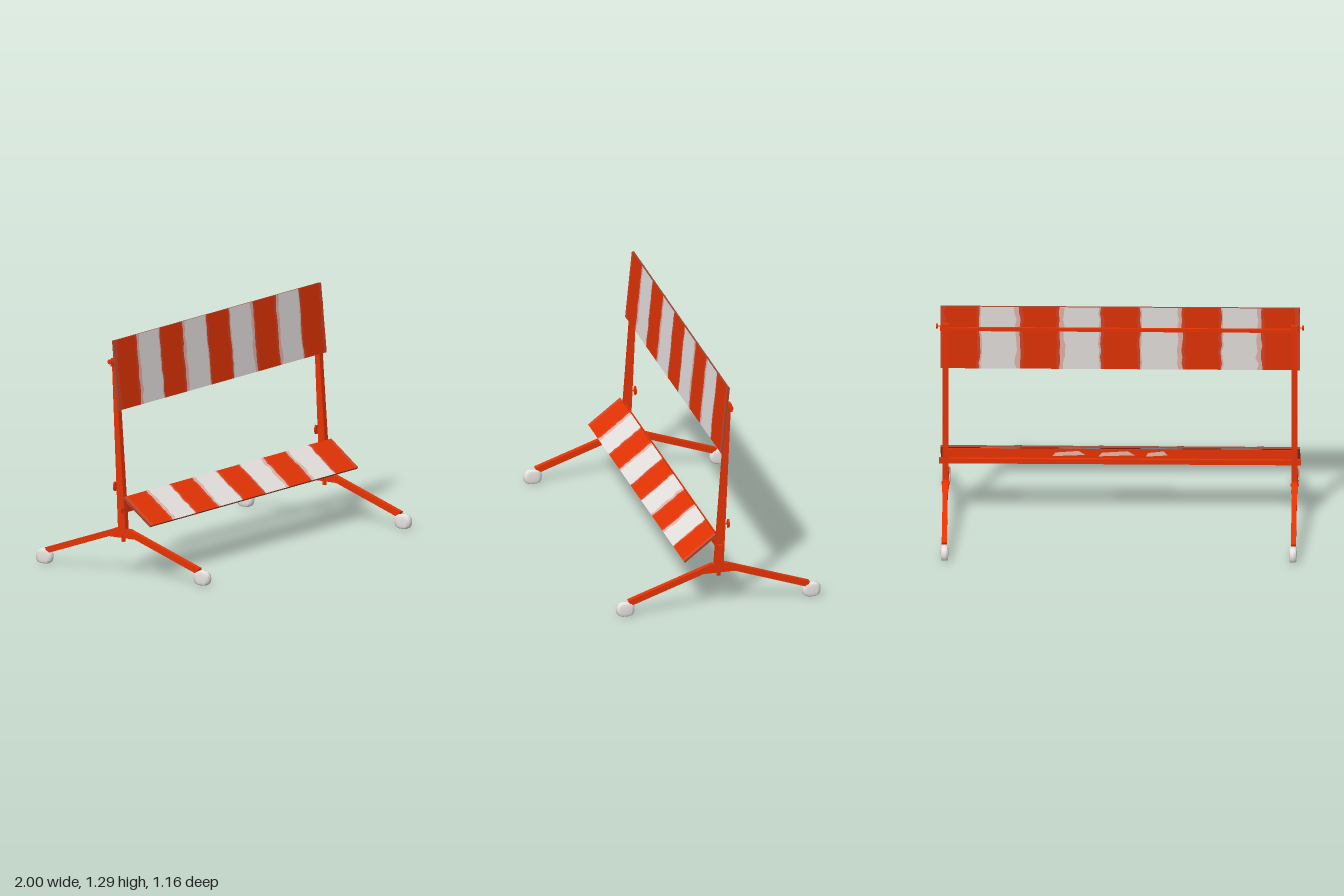
import * as THREE from 'three';

const orange = new THREE.MeshStandardMaterial({ name: 'orange', color: 0xe63304 });
const white = new THREE.MeshStandardMaterial({ name: 'white', color: 0xe8e4e2 });
const worn = new THREE.MeshStandardMaterial({ name: 'worn pink', color: 0xe5b7ab, side: THREE.DoubleSide });
const faded = new THREE.MeshStandardMaterial({ name: 'faded orange', color: 0xda4526, side: THREE.DoubleSide });
const edge = new THREE.MeshStandardMaterial({ name: 'board edge', color: 0x9a4836 });

const STRIPES = [-0.978, -0.77, -0.55, -0.338, -0.11, 0.107, 0.33, 0.545, 0.765, 0.978];

function seeded(seed) {
  return () => (seed = (seed * 16807) % 2147483647) / 2147483647;
}

function add(parent, name, geometry, material, x = 0, y = 0, z = 0) {
  const mesh = new THREE.Mesh(geometry, material);
  mesh.name = name;
  mesh.position.set(x, y, z);
  parent.add(mesh);
  return mesh;
}

function polygon(points) {
  return new THREE.Shape(points.map(([x, y]) => new THREE.Vector2(x, y)));
}

// Side profile given as [z, y] points, extruded to a width in x
function profile(points, width) {
  const g = new THREE.ExtrudeGeometry(polygon(points), { depth: width, bevelEnabled: false });
  return g.translate(0, 0, -width / 2).rotateY(-Math.PI / 2);
}

// Striped board between a top and a bottom edge, both given as [z, y]
function board(name, top, bottom, seed) {
  const group = new THREE.Group();
  group.name = name;
  const rand = seeded(seed);
  const dz = top[0] - bottom[0], dy = top[1] - bottom[1];
  const height = Math.hypot(dz, dy), thick = 0.011, steps = 10, last = STRIPES.length - 1;

  // Ragged borders shared by neighbouring stripes
  const borders = STRIPES.map((x, i) => {
    const ragged = i > 0 && i < last;
    return Array.from({ length: steps + 1 }, (_, k) =>
      [x + (ragged ? (rand() - 0.5) * 0.01 : 0), (k / steps - 0.5) * height]);
  });
  for (let i = 0; i < last; i++) {
    const shape = polygon([...borders[i], ...[...borders[i + 1]].reverse()]);
    const g = new THREE.ExtrudeGeometry(shape, { depth: thick, bevelEnabled: false });
    g.translate(0, 0, -thick / 2);
    add(group, i % 2 ? 'whiteStripe' : 'orangeStripe', g, [i % 2 ? white : orange, edge]);
  }

  // Ragged strip of worn paint along one side of a border, on both faces
  const wear = (i, side, width, material) => {
    const outer = borders[i].map(([x, y]) => [x + side * width * (0.7 + 0.6 * rand()), y]);
    const g = new THREE.ShapeGeometry(polygon([...borders[i], ...outer.reverse()]));
    for (const f of [1, -1]) add(group, 'wornPaint', g, material, 0, 0, f * (thick / 2 + 0.0012));
  };
  for (let i = 1; i < last; i++) {
    const toWhite = i % 2 ? 1 : -1;
    wear(i, toWhite, [1, 3, 6, 7].includes(i) ? 0.024 : 0.009, worn);
    wear(i, -toWhite, 0.016, faded);
  }
  wear(0, 1, 0.025, faded);
  wear(last, -1, 0.025, faded);

  group.position.set(0, (top[1] + bottom[1]) / 2, (top[0] + bottom[0]) / 2);
  group.rotation.x = Math.atan2(dz, dy);
  return group;
}

// Squashed rounded rubber foot with a flat sole
function footGeometry() {
  const g = new THREE.SphereGeometry(1, 12, 8);
  const p = g.attributes.position;
  const round = (v, e) => Math.sign(v) * Math.pow(Math.abs(v), e);
  for (let i = 0; i < p.count; i++) {
    p.setXYZ(i, round(p.getX(i), 0.3) * 0.021,
      Math.max(round(p.getY(i), 0.85) * 0.042, -0.038), round(p.getZ(i), 0.8) * 0.053);
  }
  g.computeVertexNormals();
  return g;
}

function sideFrame(s) {
  const group = new THREE.Group();
  group.name = s > 0 ? 'leftFrame' : 'rightFrame';
  const x = 0.95 * s;

  // Leaning, tapering post
  add(group, 'post', profile([[0.026, 0.23], [-0.024, 0.23], [-0.066, 1.19], [-0.044, 1.19]], 0.032), orange, x);
  // Hub block, its flange, the bolt below and the cross pin
  add(group, 'hub', profile([[0.05, 0.252], [0.05, 0.21], [-0.05, 0.21], [-0.05, 0.252]], 0.028), orange, x);
  add(group, 'hubFlange', profile([[0.055, 0.232], [0.09, 0.203], [-0.09, 0.203], [-0.055, 0.232]], 0.036), orange, x);
  add(group, 'hubBolt', new THREE.CylinderGeometry(0.011, 0.011, 0.03, 8), orange, x, 0.195, 0);
  const pin = new THREE.CylinderGeometry(0.009, 0.009, 0.046, 8).rotateZ(Math.PI / 2);
  add(group, 'hubPin', pin, orange, x, 0.218, 0);

  // Front and back legs with feet
  for (const f of [1, -1]) {
    const pts = [[0.045, 0.252], [0.045, 0.216], [0.5, 0.058], [0.512, 0.09]].map(([z, y]) => [z * f, y]);
    add(group, f > 0 ? 'frontLeg' : 'backLeg', profile(pts, 0.028), orange, x);
    add(group, 'foot', footGeometry(), white, 0.948 * s, 0.038, 0.525 * f);
  }

  // Top clamp and its side knob
  add(group, 'topClamp', new THREE.BoxGeometry(0.04, 0.03, 0.024), orange, x, 1.177, -0.058);
  add(group, 'clampHook', new THREE.BoxGeometry(0.036, 0.02, 0.02), orange, x, 1.156, -0.064);
  const stem = new THREE.CylinderGeometry(0.004, 0.004, 0.04, 8).rotateZ(Math.PI / 2);
  add(group, 'clampStem', stem, orange, 0.975 * s, 1.178, -0.058);
  const knob = new THREE.CylinderGeometry(0.014, 0.014, 0.01, 8).rotateZ(Math.PI / 2);
  add(group, 'clampKnob', knob, orange, 0.995 * s, 1.178, -0.058);

  // Wing screw behind the post
  const screw = new THREE.CylinderGeometry(0.003, 0.003, 0.04, 8).rotateX(Math.PI / 2);
  add(group, 'wingScrew', screw, orange, x, 0.48, -0.036);
  const wing = new THREE.CylinderGeometry(0.026, 0.026, 0.01, 10).rotateX(Math.PI / 2).scale(0.6, 1, 1);
  add(group, 'wingHead', wing, orange, x, 0.48, -0.055);
  return group;
}

export function createModel() {
  const model = new THREE.Group();
  model.name = 'roadBarrier';
  for (const s of [1, -1]) model.add(sideFrame(s));

  // Rails joining the two posts
  add(model, 'upperRail', new THREE.BoxGeometry(1.96, 0.02, 0.012), orange, 0, 1.16, -0.056);
  add(model, 'lowerRail', new THREE.BoxGeometry(1.97, 0.028, 0.024), orange, 0, 0.355, 0);

  model.add(board('upperBoard', [-0.05, 1.293], [-0.012, 0.91], 17));
  model.add(board('lowerBoard', [0.02, 0.43], [0.2, 0.291], 91));

  // Web from the lower rail up to the board's top edge, with worn patches on its back
  add(model, 'railWeb', new THREE.BoxGeometry(1.9, 0.056, 0.006), orange, 0, 0.394, 0.009);
  for (const [x, w] of [[0.28, 0.18], [0.02, 0.2], [-0.2, 0.12]]) {
    const patch = polygon([[-w / 2, -0.008], [w / 2, -0.016], [w * 0.4, 0.006], [-w * 0.3, 0.016]]);
    add(model, 'wornPatch', new THREE.ShapeGeometry(patch), worn, x, 0.396, 0.005);
  }
  return model;
}
